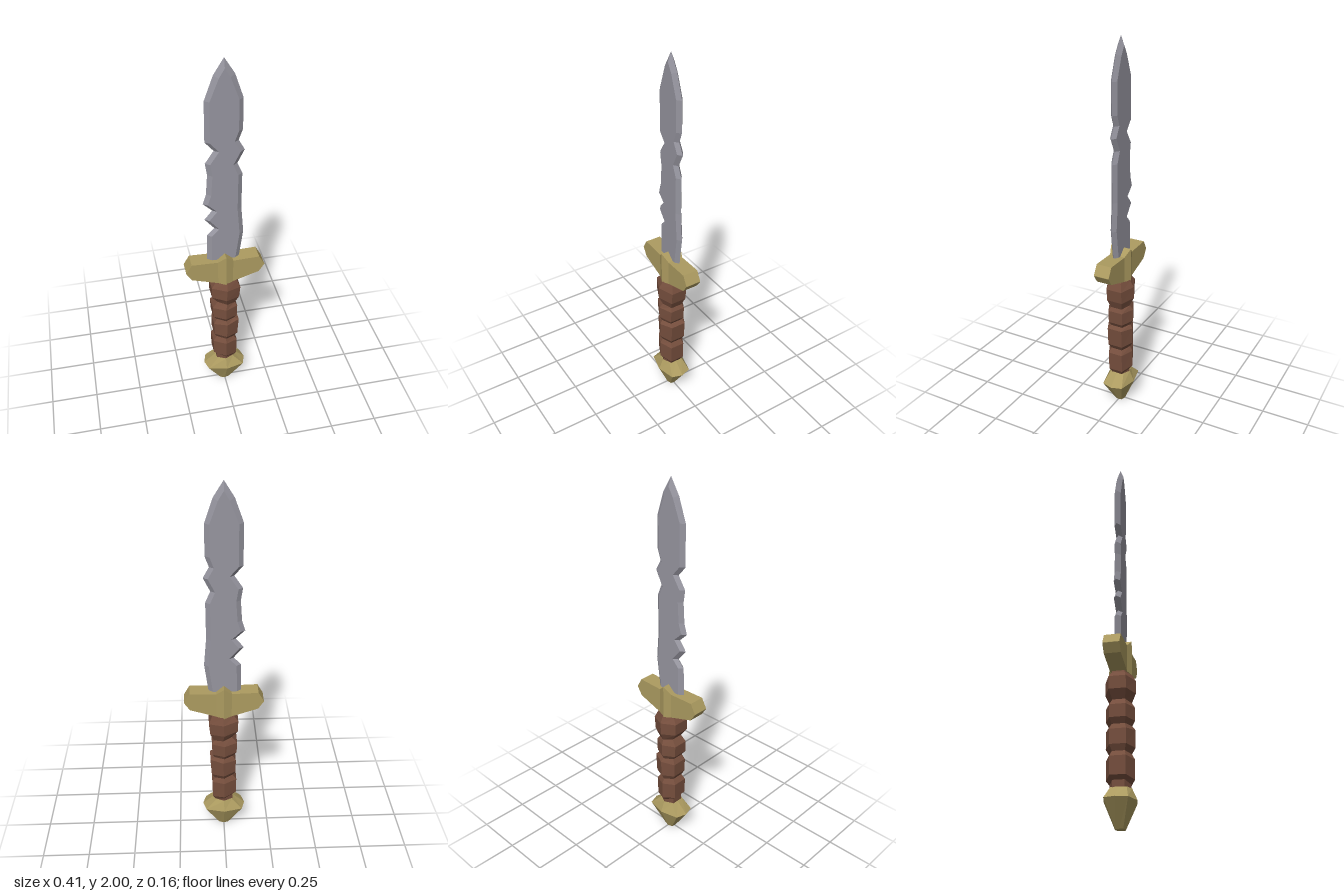
import * as THREE from 'three';

const makeMaterial = (name, color) => {
  const m = new THREE.MeshStandardMaterial({ color });
  m.name = name;
  m.flatShading = true;
  return m;
};

// Joins equal-length rings (counter-clockwise seen along the loft) and caps both ends.
function loft(rings, capFaces) {
  const n = rings[0].length;
  const last = (rings.length - 1) * n;
  const index = [];
  for (let r = 0; r < rings.length - 1; r++) {
    for (let i = 0; i < n; i++) {
      const a = r * n + i, b = r * n + (i + 1) % n;
      index.push(a, b, b + n, a, b + n, a + n);
    }
  }
  const caps = capFaces || Array.from({ length: n - 2 }, (_, i) => [0, i + 1, i + 2]);
  for (const [a, b, c] of caps) {
    index.push(a, c, b, last + a, last + b, last + c);
  }
  const geo = new THREE.BufferGeometry();
  geo.setAttribute('position', new THREE.Float32BufferAttribute(rings.flat(2), 3));
  geo.setIndex(index);
  const flat = geo.toNonIndexed();
  flat.computeVertexNormals();
  return flat;
}

// Notched blade: a sharp outline at z = 0, bevelled to a flat on each side.
function bladeGeometry() {
  const right = [[0.08, 0.86], [0.08, 0.9], [0.1, 1.05], [0.088, 1.2], [0.09, 1.4], [0.065, 1.46],
    [0.1, 1.53], [0.07, 1.585], [0.09, 1.64], [0.09, 1.8], [0.05, 1.92]];
  const left = [[-0.05, 1.92], [-0.093, 1.8], [-0.093, 1.59], [-0.05, 1.54], [-0.093, 1.475],
    [-0.083, 1.41], [-0.09, 1.3], [-0.107, 1.245], [-0.06, 1.2], [-0.1, 1.15], [-0.05, 1.09],
    [-0.088, 1.05], [-0.09, 0.9], [-0.09, 0.86]];
  const outline = [...right, [0, 2], ...left];
  const inner = outline.map(([x, y]) =>
    x === 0 ? [0, 1.955] : [x - Math.sign(x) * 0.023, y > 1.9 ? y - 0.01 : y]);
  const at = (points, z) => points.map(([x, y]) => [x, y, z]);
  const faces = THREE.ShapeUtils.triangulateShape(inner.map(p => new THREE.Vector2(...p)), []);
  return loft([at(inner, -0.017), at(outline, 0), at(inner, 0.017)], faces);
}

// Crossguard: rectangular sections along x, ridged at the middle.
function guardGeometry() {
  const half = [[0.207, 0.846, 0.848, 0.042], [0.178, 0.802, 0.9, 0.042], [0.04, 0.757, 0.896, 0.042]];
  const sections = [
    ...half.map(([x, ...rest]) => [-x, ...rest]),
    [0, 0.75, 0.932, 0.058],
    ...half.slice().reverse(),
  ];
  return loft(sections.map(([x, lo, hi, z]) => [[x, lo, -z], [x, hi, -z], [x, hi, z], [x, lo, z]]));
}

// Wrapped grip: slightly tilted, off-centre six-sided rings.
function gripGeometry() {
  // left height, right height, left x, right x, half depth
  const rings = [
    [0.17, 0.17, -0.048, 0.048, 0.053], [0.22, 0.187, -0.048, 0.048, 0.053],
    [0.24, 0.212, -0.066, 0.062, 0.07], [0.33, 0.315, -0.068, 0.065, 0.07],
    [0.357, 0.34, -0.048, 0.048, 0.056], [0.387, 0.37, -0.064, 0.067, 0.073],
    [0.462, 0.472, -0.064, 0.074, 0.073], [0.49, 0.482, -0.048, 0.048, 0.058],
    [0.518, 0.505, -0.068, 0.062, 0.072], [0.582, 0.575, -0.07, 0.065, 0.072],
    [0.615, 0.595, -0.042, 0.053, 0.056], [0.66, 0.642, -0.074, 0.073, 0.077],
    [0.725, 0.71, -0.075, 0.08, 0.077], [0.752, 0.752, -0.053, 0.063, 0.058],
    [0.775, 0.775, -0.045, 0.045, 0.05],
  ];
  return loft(rings.map(([yl, yr, xl, xr, d]) => {
    const cx = (xl + xr) / 2, cy = (yl + yr) / 2, s = d * 0.56;
    return [[cx, cy, d], [xr, yr, s], [xr, yr, -s], [cx, cy, -d], [xl, yl, -s], [xl, yl, s]];
  }));
}

// Faceted pommel: eight-sided rings, wider than deep.
function pommelGeometry() {
  const rings = [[0, 0.03, 0.026], [0.13, 0.117, 0.081], [0.187, 0.052, 0.055]];
  return loft(rings.map(([y, w, d]) => {
    const sx = w * 0.85, sz = d * 0.71;
    return [[0, y, d], [sx, y, sz], [w, y, 0], [sx, y, -sz],
      [0, y, -d], [-sx, y, -sz], [-w, y, 0], [-sx, y, sz]];
  }));
}

export function createModel() {
  const steel = makeMaterial('steel', 0x96959f);
  const brass = makeMaterial('brass', 0xac9b60);
  const leather = makeMaterial('leather', 0x754e3d);

  const group = new THREE.Group();
  group.name = 'dagger';
  const add = (name, geometry, material) => {
    const mesh = new THREE.Mesh(geometry, material);
    mesh.name = name;
    group.add(mesh);
  };
  add('blade', bladeGeometry(), steel);
  add('crossguard', guardGeometry(), brass);
  add('grip', gripGeometry(), leather);
  add('pommel', pommelGeometry(), brass);
  return group;
}
